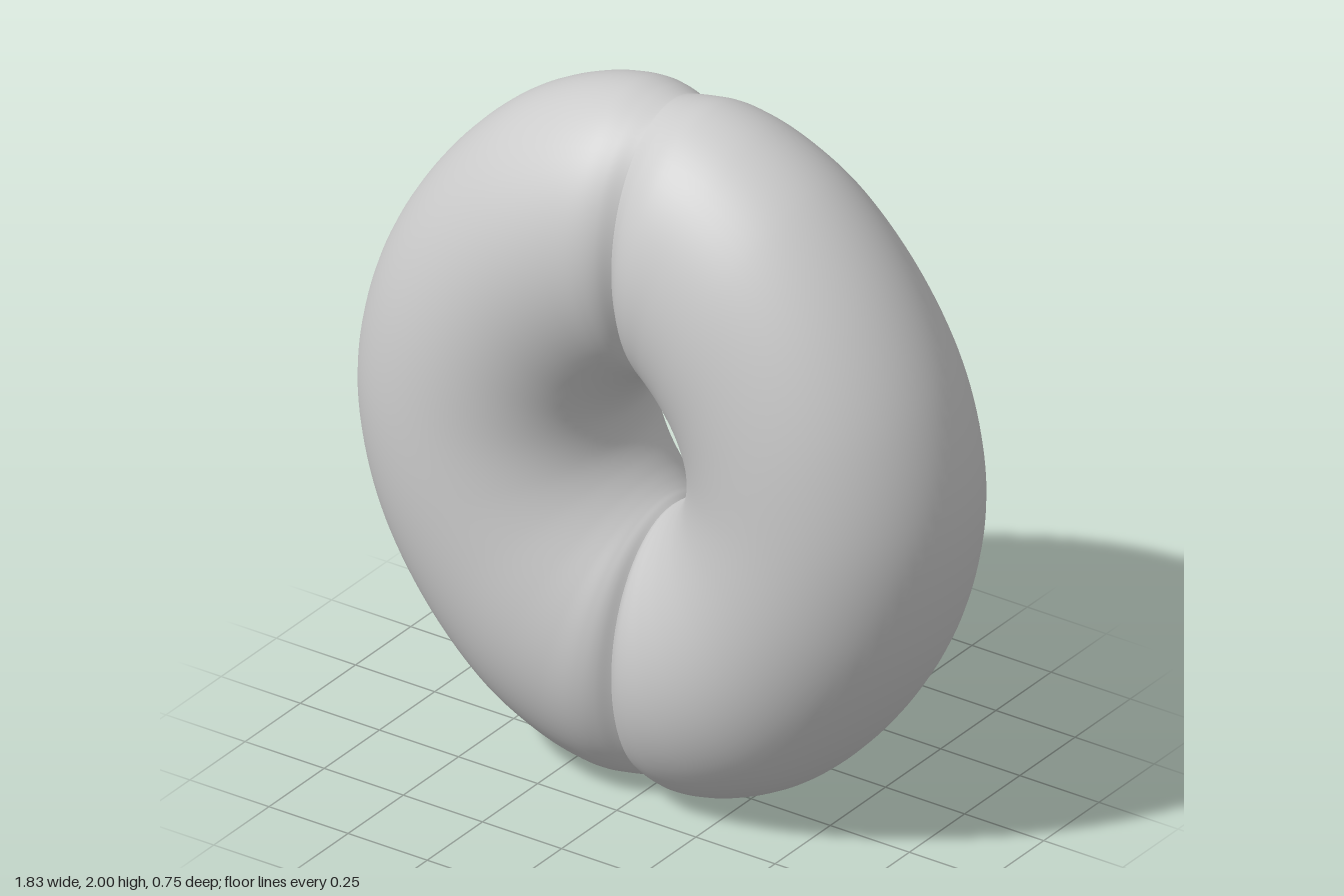
import * as THREE from 'three';

// Upper quarter of one half ring, from seam to equator.
// Each section: outer x, outer y, inner x, inner y (y from mid-height), half depth
const SECTIONS = [
  [0, 0.99, 0, 0.21, 0.275],
  [0.055, 0.997, 0.012, 0.2, 0.305],
  [0.13, 1.0, 0.026, 0.19, 0.326],
  [0.28, 0.963, 0.046, 0.172, 0.343],
  [0.48, 0.852, 0.072, 0.143, 0.358],
  [0.70, 0.62, 0.102, 0.097, 0.368],
  [0.855, 0.33, 0.12, 0.05, 0.374],
  [0.915, 0, 0.125, 0, 0.375],
];

function halfRingGeometry(steps = 120, sides = 72) {
  // Mirror the quarter about mid-height
  const lower = SECTIONS.slice(0, -1).reverse().map(([ox, oy, ix, iy, d]) => [ox, -oy, ix, -iy, d]);
  const all = [...SECTIONS, ...lower];
  const spline = (f) => new THREE.CatmullRomCurve3(all.map(f), false, 'centripetal');
  const outer = spline(([ox, oy, , , d]) => new THREE.Vector3(ox, oy, d));
  const inner = spline(([, , ix, iy, d]) => new THREE.Vector3(ix, iy, d));

  // Elliptical loops spanning the inner and outer curves
  const positions = [];
  const indices = [];
  for (let i = 0; i <= steps; i++) {
    const o = outer.getPoint(i / steps);
    const n = inner.getPoint(i / steps);
    for (let j = 0; j < sides; j++) {
      const a = (j / sides) * Math.PI * 2;
      const k = (1 + Math.cos(a)) / 2;
      positions.push(n.x + (o.x - n.x) * k, 1 + n.y + (o.y - n.y) * k, o.z * Math.sin(a));
      if (i === steps) continue;
      const p = i * sides + j;
      const q = i * sides + ((j + 1) % sides);
      indices.push(p, p + sides, q, q, p + sides, q + sides);
    }
  }
  const geometry = new THREE.BufferGeometry();
  geometry.setAttribute('position', new THREE.Float32BufferAttribute(positions, 3));
  geometry.setIndex(indices);
  geometry.computeVertexNormals();
  return geometry;
}

export function createModel() {
  const group = new THREE.Group();
  group.name = 'creasedRing';
  const material = new THREE.MeshStandardMaterial({ color: 0xcccccc, side: THREE.DoubleSide });
  const geometry = halfRingGeometry();

  // Two identical halves meeting in a sharp seam at x = 0
  ['leftHalf', 'rightHalf'].forEach((name, i) => {
    const half = new THREE.Mesh(geometry, material);
    half.name = name;
    half.rotation.y = i * Math.PI;
    group.add(half);
  });
  return group;
}
